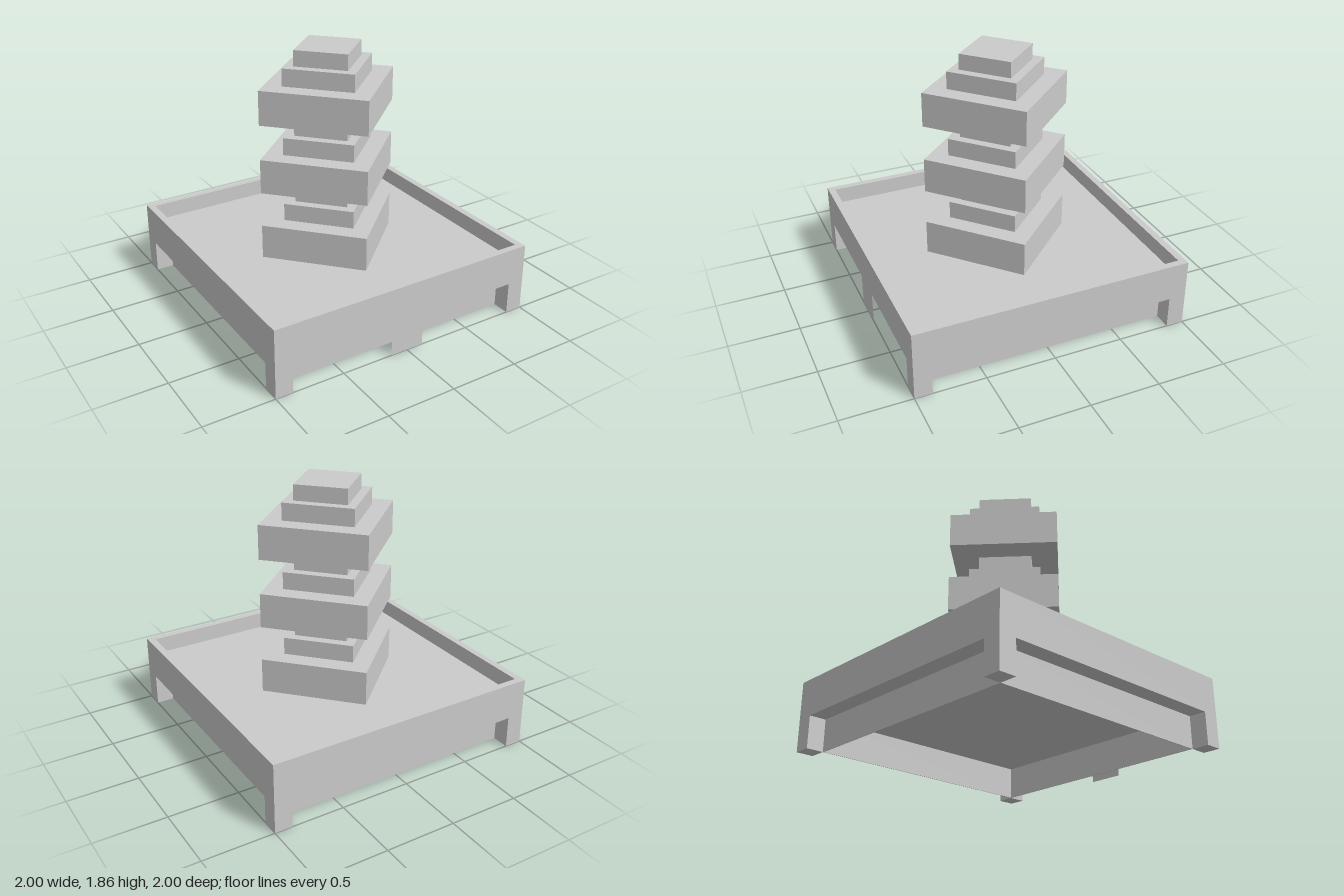
import * as THREE from 'three';

const material = new THREE.MeshStandardMaterial({ color: 0xcccccc, flatShading: true });
const thinMaterial = new THREE.MeshStandardMaterial({
  color: 0xcccccc, flatShading: true, side: THREE.DoubleSide,
});

function add(parent, name, geometry, x = 0, y = 0, z = 0, mat = material) {
  const mesh = new THREE.Mesh(geometry, mat);
  mesh.name = name;
  mesh.position.set(x, y, z);
  parent.add(mesh);
  return mesh;
}

// Box standing between two heights
function block(parent, name, width, y0, y1, x = 0, z = 0) {
  return add(parent, name, new THREE.BoxGeometry(width, y1 - y0, width), x, (y0 + y1) / 2, z);
}

function square(half, Type) {
  return new Type([[-half, -half], [half, -half], [half, half], [-half, half]]
    .map(([x, y]) => new THREE.Vector2(x, y)));
}

// Square ring of walls between two heights
function squareRing(parent, name, outer, inner, y0, y1) {
  const shape = square(outer, THREE.Shape);
  shape.holes.push(square(inner, THREE.Path));
  const geometry = new THREE.ExtrudeGeometry(shape, { depth: y1 - y0, bevelEnabled: false });
  geometry.rotateX(-Math.PI / 2);
  return add(parent, name, geometry, 0, y0, 0);
}

export function createModel() {
  const model = new THREE.Group();
  model.name = 'towerFountain';

  // Basin: raised rim, sunken floor
  const basin = new THREE.Group();
  basin.name = 'basin';
  model.add(basin);
  squareRing(basin, 'basinWall', 1, 0.95, 0.23, 0.5);
  block(basin, 'basinFloor', 1.9, 0.23, 0.38);

  // Recessed thin skirt, open underneath
  squareRing(basin, 'skirt', 0.875, 0.87, 0, 0.23);

  // Corner legs
  for (const sx of [-1, 1]) {
    for (const sz of [-1, 1]) {
      block(basin, (sz > 0 ? 'front' : 'back') + (sx > 0 ? 'Left' : 'Right') + 'Leg',
        0.125, 0, 0.23, sx * 0.9375, sz * 0.9375);
    }
  }

  // Thin plate at the middle of the front
  add(basin, 'frontPlate', new THREE.PlaneGeometry(0.25, 0.23), 0, 0.115, 1, thinMaterial);

  // Tower: three repeats of three shrinking slabs, turned nearly 45 degrees
  const tower = new THREE.Group();
  tower.name = 'tower';
  tower.rotation.y = 0.75;
  model.add(tower);
  const widths = [0.75, 0.5, 0.375];
  const names = ['wideSlab', 'middleSlab', 'narrowSlab'];
  const levels = [0.38, 0.628, 0.754, 0.878, 1.126, 1.251, 1.376, 1.621, 1.746, 1.858];
  for (let i = 0; i < 9; i++) {
    block(tower, names[i % 3], widths[i % 3], levels[i], levels[i + 1]);
  }

  return model;
}
